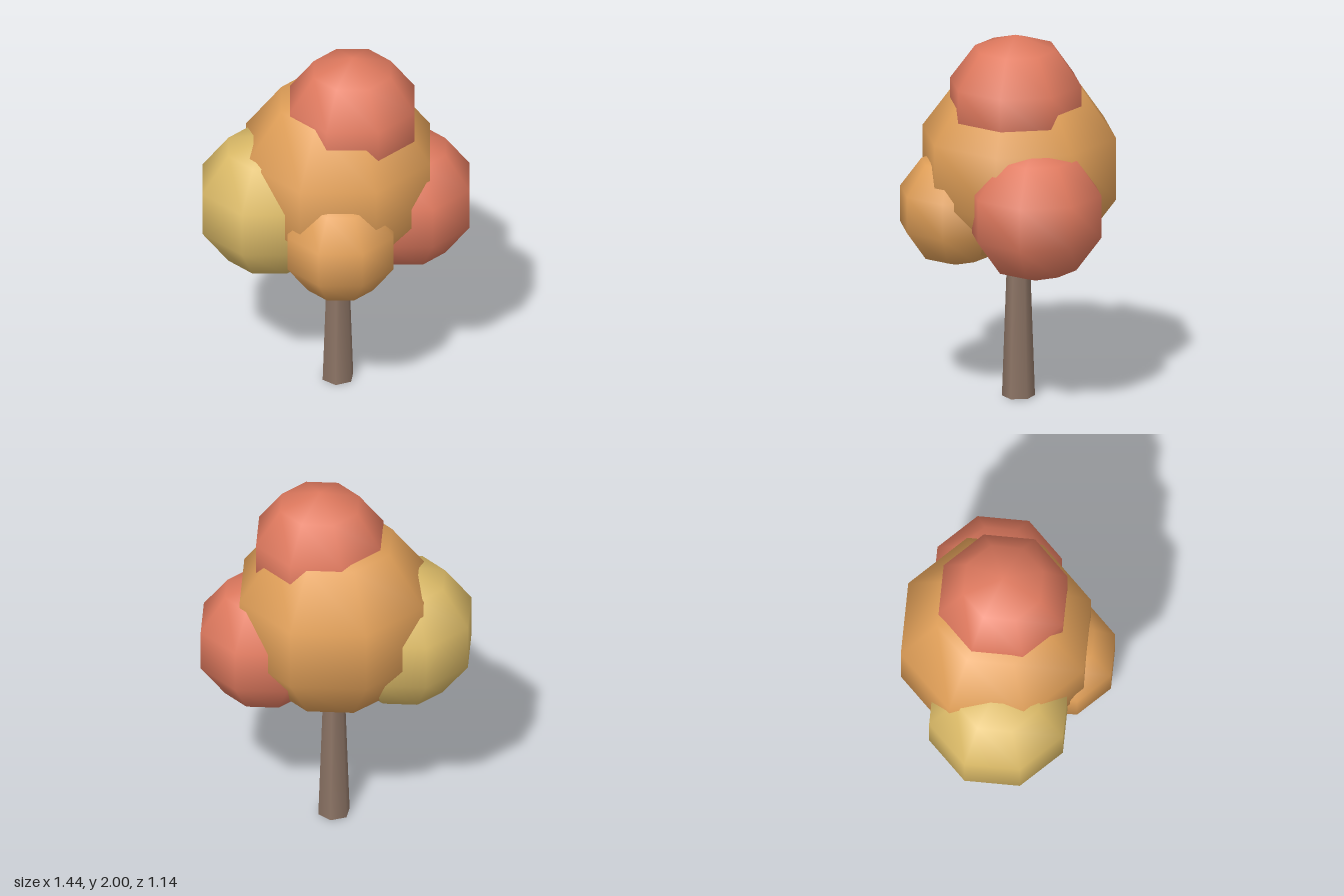
import * as THREE from 'three';

const mat = (name, color) => {
  const m = new THREE.MeshStandardMaterial({ color });
  m.name = name;
  return m;
};

export function createModel() {
  const tree = new THREE.Group();
  tree.name = 'autumnTree';

  const bark = mat('barkBrown', 0x8c7465);
  const orange = mat('leafOrange', 0xe09f58);
  const red = mat('leafRed', 0xe07a5f);
  const yellow = mat('leafYellow', 0xdcbb68);

  // Tapered six-sided trunk, its top buried in the crown
  const trunk = new THREE.Mesh(new THREE.CylinderGeometry(0.05, 0.087, 1.05, 6), bark);
  trunk.name = 'trunk';
  trunk.rotation.y = Math.PI / 6;
  trunk.position.set(0.012, 0.525, -0.048);
  tree.add(trunk);

  // Overlapping coarse spheres of foliage: name, material, radius, centre
  const clumps = [
    ['mainFoliage', orange, 0.55, [0.014, 1.277, -0.051]],
    ['topFoliage', red, 0.373, [0.072, 1.627, 0.006]],
    ['leftFoliage', red, 0.374, [0.36, 1.107, 0.06]],
    ['rightFoliage', yellow, 0.402, [-0.337, 1.134, -0.142]],
    ['frontFoliage', orange, 0.317, [-0.104, 1.052, 0.267]],
  ];
  for (const [name, material, radius, centre] of clumps) {
    const clump = new THREE.Mesh(new THREE.SphereGeometry(radius, 8, 5), material);
    clump.name = name;
    clump.position.set(...centre);
    tree.add(clump);
  }
  return tree;
}
